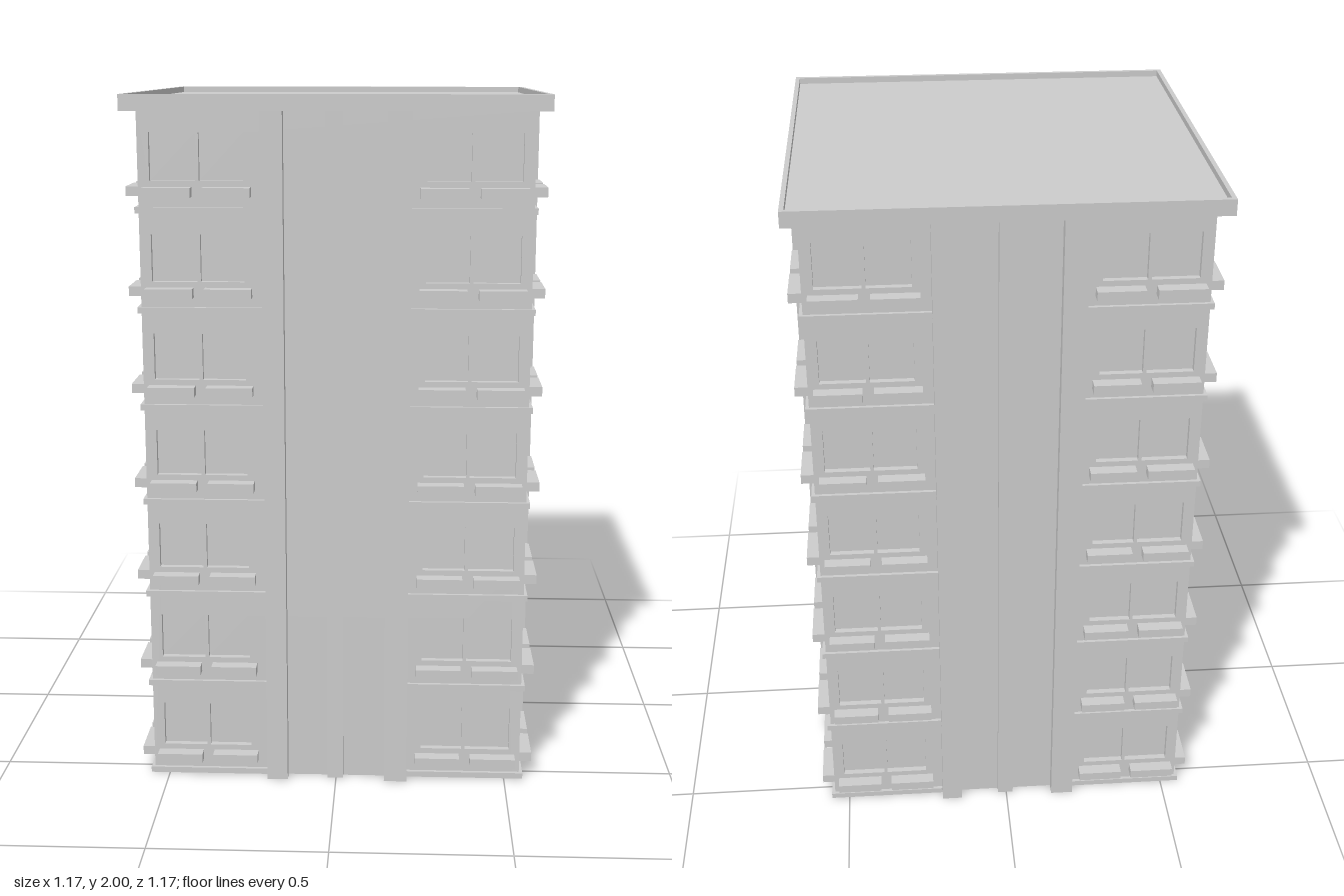
import * as THREE from 'three';

const H = 1.955;      // wall height
const R = 0.545;      // half width of the walls
const T = 0.02;       // wall thickness
const FLOORS = 7;
const STEP = 0.279;
const WINDOWS = [[-0.513, -0.386], [-0.376, -0.254], [0.251, 0.372], [0.382, 0.513]];
const SILLS = [[-0.53, -0.397], [-0.365, -0.233], [0.233, 0.365], [0.397, 0.53]];
const PILLARS = [[-0.203, -0.143, 0.036], [-0.026, 0.021, 0.02], [0.143, 0.21, 0.036]];

const mat = new THREE.MeshStandardMaterial({ color: 0xcccccc, flatShading: true });
const thinMat = new THREE.MeshStandardMaterial({ color: 0xcccccc, flatShading: true, side: THREE.DoubleSide });

function rect(path, x0, x1, y0, y1) {
  path.moveTo(x0, y0);
  path.lineTo(x1, y0);
  path.lineTo(x1, y1);
  path.lineTo(x0, y1);
  path.closePath();
  return path;
}

function box(name, x0, x1, y0, y1, z0, z1) {
  const mesh = new THREE.Mesh(new THREE.BoxGeometry(x1 - x0, y1 - y0, z1 - z0), mat);
  mesh.position.set((x0 + x1) / 2, (y0 + y1) / 2, (z0 + z1) / 2);
  mesh.name = name;
  return mesh;
}

// One side of the building, facing +z
function createFacade() {
  const facade = new THREE.Group();
  facade.name = 'facade';

  // Wall pierced by the window openings; the right end butts against the next wall
  const shape = rect(new THREE.Shape(), -R, R - T, 0, H);
  for (let f = 0; f < FLOORS; f++) {
    const y = f * STEP;
    for (const [x0, x1] of WINDOWS) {
      shape.holes.push(rect(new THREE.Path(), x0, x1, y + 0.091, y + 0.223));
      const pane = new THREE.Mesh(new THREE.PlaneGeometry(x1 - x0, 0.132), thinMat);
      pane.position.set((x0 + x1) / 2, y + 0.157, R - T + 0.002);
      pane.name = 'windowPane';
      facade.add(pane);
    }
    for (const [x0, x1] of SILLS) {
      facade.add(box('windowSill', x0, x1, y + 0.048, y + 0.075, R - 0.005, 0.582));
    }
    // Floor bands on the two window bays
    facade.add(box('floorBand', -0.555, -0.203, y + 0.003, y + 0.02, R - 0.005, 0.555));
    facade.add(box('floorBand', 0.21, R, y + 0.003, y + 0.02, R - 0.005, 0.555));
  }
  const wall = new THREE.Mesh(new THREE.ExtrudeGeometry(shape, { depth: T, bevelEnabled: false }), mat);
  wall.position.z = R - T;
  wall.name = 'wall';
  facade.add(wall);

  // Full-height pillars in the middle bay
  for (const [x0, x1, d] of PILLARS) {
    facade.add(box('pillar', x0, x1, 0, H, R - 0.005, R + d));
  }
  return facade;
}

export function createModel() {
  const model = new THREE.Group();
  model.name = 'apartmentTower';

  for (let i = 0; i < 4; i++) {
    const facade = createFacade();
    facade.rotation.y = i * Math.PI / 2;
    model.add(facade);
  }

  // Flat roof with a low raised rim
  const E = 0.586, I = 0.573;
  model.add(box('roofSlab', -I, I, H, 1.982, -I, I));
  const rimShape = rect(new THREE.Shape(), -E, E, -E, E);
  rimShape.holes.push(rect(new THREE.Path(), -I, I, -I, I));
  const rim = new THREE.Mesh(new THREE.ExtrudeGeometry(rimShape, { depth: 2 - H, bevelEnabled: false }), mat);
  rim.rotation.x = -Math.PI / 2;
  rim.position.y = H;
  rim.name = 'roofRim';
  model.add(rim);

  return model;
}
